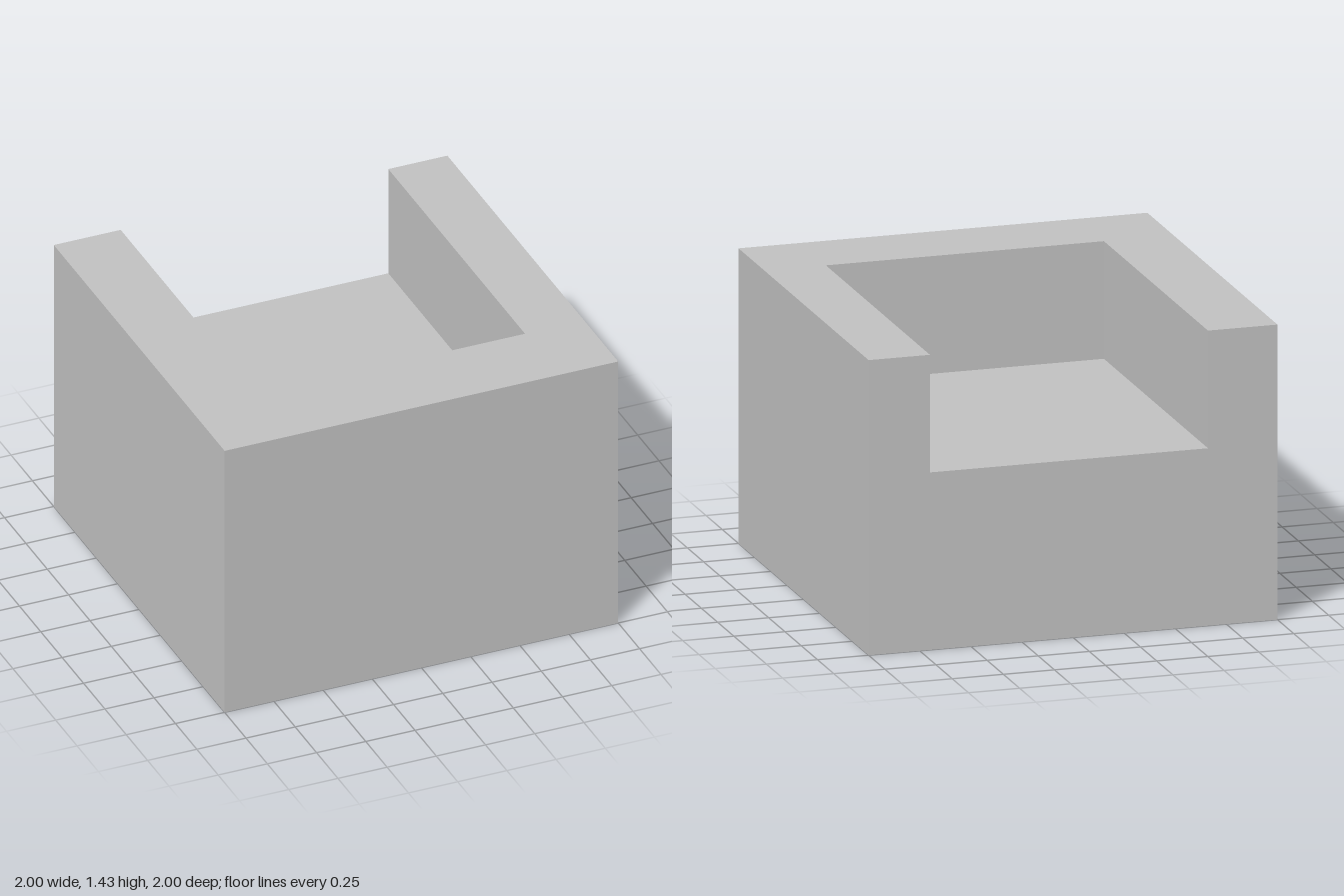
import * as THREE from 'three';

const HEIGHT = 1.43;
const FLOOR = 0.86;

export function createModel() {
  const model = new THREE.Group();
  model.name = 'openBackBlock';
  const grey = new THREE.MeshStandardMaterial({ color: 0xbfbfbf });
  grey.name = 'plain grey';

  // Solid base whose top is the floor of the recess
  const base = new THREE.Mesh(new THREE.BoxGeometry(2, FLOOR, 2), grey);
  base.name = 'base';
  base.position.y = FLOOR / 2;
  model.add(base);

  // U-shaped wall, open at the back; plan drawn as (x, -z)
  const plan = new THREE.Shape([
    [-1, -1], [1, -1], [1, 1], [0.7, 1],
    [0.7, -0.6], [-0.66, -0.6], [-0.66, 1], [-1, 1],
  ].map(([x, y]) => new THREE.Vector2(x, y)));
  const wallGeometry = new THREE.ExtrudeGeometry(plan, { depth: HEIGHT - FLOOR, bevelEnabled: false });
  wallGeometry.rotateX(-Math.PI / 2);
  const wall = new THREE.Mesh(wallGeometry, grey);
  wall.name = 'surroundingWall';
  wall.position.y = FLOOR;
  model.add(wall);

  return model;
}
